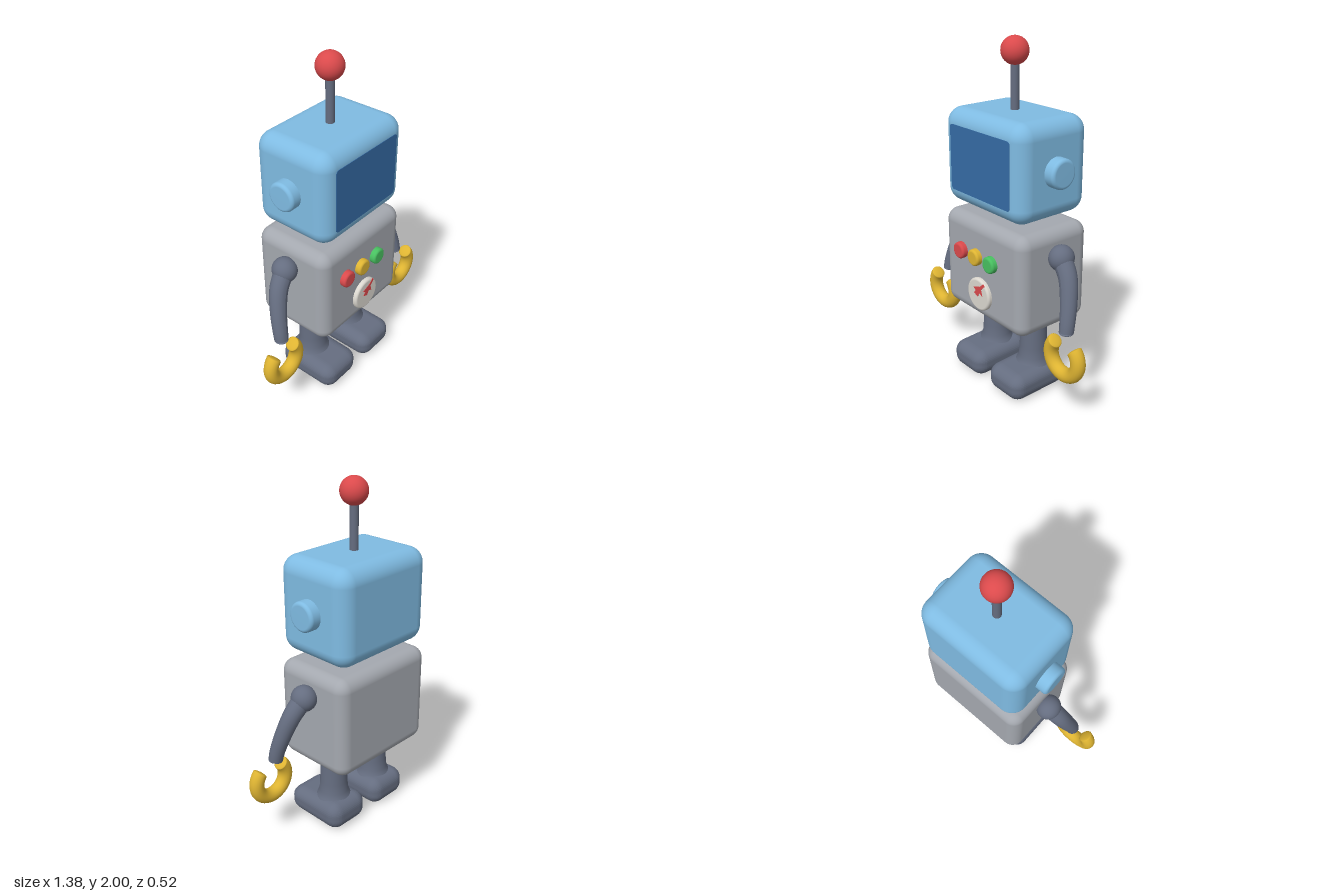
import * as THREE from 'three';
import { RoundedBoxGeometry } from 'three/addons/geometries/RoundedBoxGeometry.js';

const MID = -0.015; // depth of the robot's centre line

const paint = (name, color) => {
  const m = new THREE.MeshStandardMaterial({ color });
  m.name = name;
  return m;
};

function createMaterials() {
  return {
    blue: paint('head blue', 0x7fbbe2),
    screen: paint('screen blue', 0x356ba5),
    grey: paint('body grey', 0xa4a8af),
    slate: paint('limb slate', 0x656d80),
    yellow: paint('claw yellow', 0xdeb432),
    red: paint('signal red', 0xdb4a4c),
    green: paint('button green', 0x48c060),
    cream: paint('dial cream', 0xdcd8d0),
  };
}

function add(parent, name, geometry, material, x = 0, y = 0, z = 0) {
  const mesh = new THREE.Mesh(geometry, material);
  mesh.name = name;
  mesh.position.set(x, y, z);
  parent.add(mesh);
  return mesh;
}

// Disc with a rounded rim, standing along +y from its base
function softDisc(radius, height, rim) {
  const points = [new THREE.Vector2(radius, 0)];
  for (let i = 0; i <= 6; i++) {
    const a = (i / 6) * Math.PI / 2;
    points.push(new THREE.Vector2(radius - rim + rim * Math.cos(a), height - rim + rim * Math.sin(a)));
  }
  points.push(new THREE.Vector2(0, height));
  return new THREE.LatheGeometry(points, 36);
}

// Round tube whose radius follows radiusAt(t), closed at both ends
function taperedTube(curve, segments, sides, radiusAt) {
  const geo = new THREE.TubeGeometry(curve, segments, 1, sides);
  const pos = geo.attributes.position;
  const centre = new THREE.Vector3(), v = new THREE.Vector3();
  for (let i = 0; i <= segments; i++) {
    const t = i / segments;
    curve.getPointAt(t, centre);
    for (let j = 0; j <= sides; j++) {
      const k = i * (sides + 1) + j;
      v.fromBufferAttribute(pos, k).sub(centre).multiplyScalar(radiusAt(t)).add(centre);
      pos.setXYZ(k, v.x, v.y, v.z);
    }
  }
  geo.computeVertexNormals();
  return geo;
}

// Shoulder ball and curved arm
function buildArm(parent, side, mat) {
  const arm = new THREE.Group();
  arm.name = side > 0 ? 'leftArm' : 'rightArm';
  parent.add(arm);
  const ball = add(arm, 'shoulder', new THREE.SphereGeometry(0.073, 28, 20), mat.slate, side * 0.385, 0.882, MID);
  ball.scale.x = 0.95;
  const curve = new THREE.CatmullRomCurve3([
    [0.385, 0.885, MID], [0.455, 0.8, 0.003], [0.5, 0.68, 0.035], [0.522, 0.575, 0.063], [0.527, 0.525, 0.073],
  ].map(([x, y, z]) => new THREE.Vector3(side * x, y, z)));
  const radiusAt = (t) => 0.056 - 0.016 * t;
  add(arm, 'armTube', taperedTube(curve, 28, 20, radiusAt), mat.slate);
  const cap = add(arm, 'wristEnd', new THREE.SphereGeometry(0.04, 20, 12), mat.slate, side * 0.527, 0.525, 0.073);
  cap.scale.y = 0.25;
}

// Open ring claw with its gap at the top
function buildClaw(parent, side, mat) {
  const claw = new THREE.Group();
  claw.name = side > 0 ? 'leftClaw' : 'rightClaw';
  claw.position.set(side * 0.545, 0.393, 0.1);
  parent.add(claw);
  const ring = 0.102, tube = 0.041, gap = 0.82;
  const ringMesh = add(claw, 'clawRing', new THREE.TorusGeometry(ring, tube, 18, 44, Math.PI * 2 - 2 * gap), mat.yellow);
  ringMesh.rotation.z = Math.PI / 2 + gap;
  for (const s of [-1, 1]) {
    const a = Math.PI / 2 + s * gap;
    const tip = add(claw, 'clawTip', new THREE.SphereGeometry(tube, 18, 12), mat.yellow, ring * Math.cos(a), ring * Math.sin(a), 0);
    tip.rotation.z = a;
    tip.scale.y = 0.25;
  }
}

// Leg column flaring into a rounded foot
function buildLeg(parent, side, mat) {
  const leg = new THREE.Group();
  leg.name = side > 0 ? 'leftLeg' : 'rightLeg';
  leg.position.x = side * 0.17;
  parent.add(leg);
  const profile = [[0.115, 0.14], [0.098, 0.17], [0.085, 0.2], [0.08, 0.26], [0.077, 0.36], [0.073, 0.47]]
    .map(([r, y]) => new THREE.Vector2(r, y));
  add(leg, 'shin', new THREE.LatheGeometry(profile, 32), mat.slate, 0, 0, MID);

  // Foot: rounded block, its top sloping down to the toe and its sole narrower
  const geo = new RoundedBoxGeometry(0.275, 0.17, 0.39, 6, 0.07);
  const pos = geo.attributes.position;
  for (let i = 0; i < pos.count; i++) {
    const y = pos.getY(i), z = pos.getZ(i);
    if (y > 0) pos.setY(i, y * (1 - 0.2 * Math.max(0, z) / 0.195));
    if (y < 0) pos.setX(i, pos.getX(i) * (1 + 0.3 * y));
  }
  geo.computeVertexNormals();
  add(leg, 'foot', geo, mat.slate, 0, 0.088, 0.035);
}

export function createModel() {
  const robot = new THREE.Group();
  robot.name = 'robot';
  const mat = createMaterials();

  // Head, screen and ears
  const head = new THREE.Group();
  head.name = 'head';
  robot.add(head);
  add(head, 'headShell', new RoundedBoxGeometry(0.66, 0.54, 0.49, 8, 0.09), mat.blue, 0, 1.345, MID);
  const w = 0.25, h = 0.185, r = 0.02;
  const screen = new THREE.Shape();
  screen.absarc(w - r, h - r, r, 0, Math.PI / 2);
  screen.absarc(r - w, h - r, r, Math.PI / 2, Math.PI);
  screen.absarc(r - w, r - h, r, Math.PI, Math.PI * 1.5);
  screen.absarc(w - r, r - h, r, Math.PI * 1.5, Math.PI * 2);
  add(head, 'screen', new THREE.ExtrudeGeometry(screen, { depth: 0.007, bevelEnabled: false }), mat.screen, 0, 1.345, 0.2255);
  for (const side of [-1, 1]) {
    const ear = add(head, side > 0 ? 'leftEar' : 'rightEar', softDisc(0.083, 0.085, 0.02), mat.blue, side * 0.31, 1.345, MID);
    ear.rotation.z = -side * Math.PI / 2;
  }

  // Antenna
  add(robot, 'antennaRod', new THREE.CylinderGeometry(0.024, 0.024, 0.3, 20), mat.slate, 0, 1.745, MID);
  add(robot, 'antennaBall', new THREE.SphereGeometry(0.076, 32, 24), mat.red, 0, 1.924, MID);

  // Body with three buttons and a dial
  add(robot, 'body', new RoundedBoxGeometry(0.69, 0.59, 0.49, 8, 0.07), mat.grey, 0, 0.73, MID);
  const buttons = [['redButton', -0.166, mat.red], ['yellowButton', -0.034, mat.yellow], ['greenButton', 0.099, mat.green]];
  for (const [name, x, material] of buttons) {
    add(robot, name, softDisc(0.048, 0.045, 0.014), material, x, 0.815, 0.22).rotation.x = Math.PI / 2;
  }
  add(robot, 'dial', softDisc(0.097, 0.035, 0.014), mat.cream, 0, 0.6, 0.22).rotation.x = Math.PI / 2;

  // Dial needle: broad hub with a pointer to the upper right
  const needle = new THREE.Shape([
    [-0.036, 0.638], [-0.006, 0.648], [0.022, 0.658], [0.052, 0.684], [0.062, 0.672],
    [0.032, 0.642], [0.042, 0.605], [0.016, 0.616], [0.002, 0.59], [-0.032, 0.603], [-0.016, 0.624],
  ].map(([x, y]) => new THREE.Vector2(x, y)));
  add(robot, 'dialNeedle', new THREE.ExtrudeGeometry(needle, { depth: 0.004, bevelEnabled: false }), mat.red, 0, 0, 0.253);

  // Paired limbs
  for (const side of [-1, 1]) {
    buildArm(robot, side, mat);
    buildClaw(robot, side, mat);
    buildLeg(robot, side, mat);
  }
  return robot;
}
